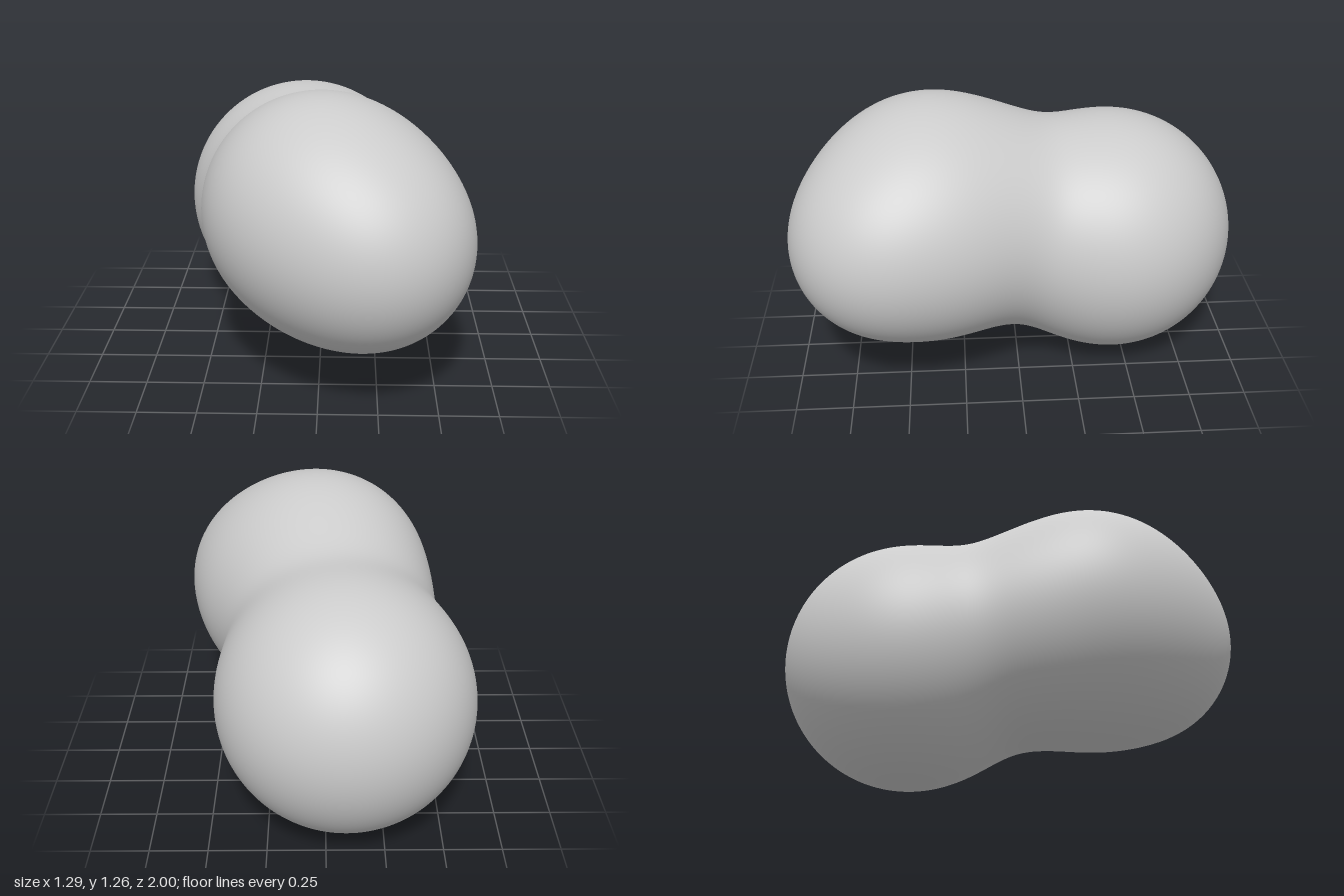
import * as THREE from 'three';

// Soft union of distances: a larger k gives a wider fillet
const blend = (k, ...d) => -k * Math.log(d.reduce((s, v) => s + Math.exp(-v / k), 0));

const ball = (x, y, z, r) => {
  const c = new THREE.Vector3(x, y, z);
  return p => p.distanceTo(c) - r;
};

const rearBall = ball(-0.085, 0.557, -0.443, 0.555);

// Crown, nose and waist, with two balls filling the hollows on either side of the nose
const frontBalls = [
  ball(0, 0.78, 0.38, 0.468),
  ball(0.22, 0.68, 0.58, 0.408),
  ball(-0.015, 0.69, 0.18, 0.475),
  ball(0.1, 0.735, 0.48, 0.445),
  ball(0.13, 0.67, 0.38, 0.452),
];

// Front lobe is tightly merged, then joined softly to the rear lobe
const field = p => blend(0.1, rearBall(p), blend(0.05, ...frontBalls.map(b => b(p))));

export function createModel() {
  const group = new THREE.Group();
  const centre = new THREE.Vector3(0, 0.62, 0);

  // Sphere with its poles on the long axis, shrunk onto the blended surface
  const geometry = new THREE.SphereGeometry(1, 160, 120).rotateX(Math.PI / 2);
  const pos = geometry.attributes.position;
  const nor = geometry.attributes.normal;
  const dir = new THREE.Vector3();
  const p = new THREE.Vector3();
  const n = new THREE.Vector3();
  const e = 0.001;
  for (let i = 0; i < pos.count; i++) {
    dir.fromBufferAttribute(pos, i).normalize();
    let t = 1.4;
    for (let step = 0; step < 60; step++) {
      const d = field(p.copy(centre).addScaledVector(dir, t));
      if (Math.abs(d) < 1e-5) break;
      t -= d * 0.9;
    }
    p.copy(centre).addScaledVector(dir, t);
    pos.setXYZ(i, p.x, p.y, p.z);

    // Smooth normal from the slope of the field
    for (const axis of ['x', 'y', 'z']) {
      const v = p[axis];
      p[axis] = v + e;
      const ahead = field(p);
      p[axis] = v - e;
      n[axis] = ahead - field(p);
      p[axis] = v;
    }
    n.normalize();
    nor.setXYZ(i, n.x, n.y, n.z);
  }

  const body = new THREE.Mesh(geometry, new THREE.MeshStandardMaterial({ color: 0xcccccc }));
  body.name = 'twoLobedBody';
  group.add(body);
  return group;
}
